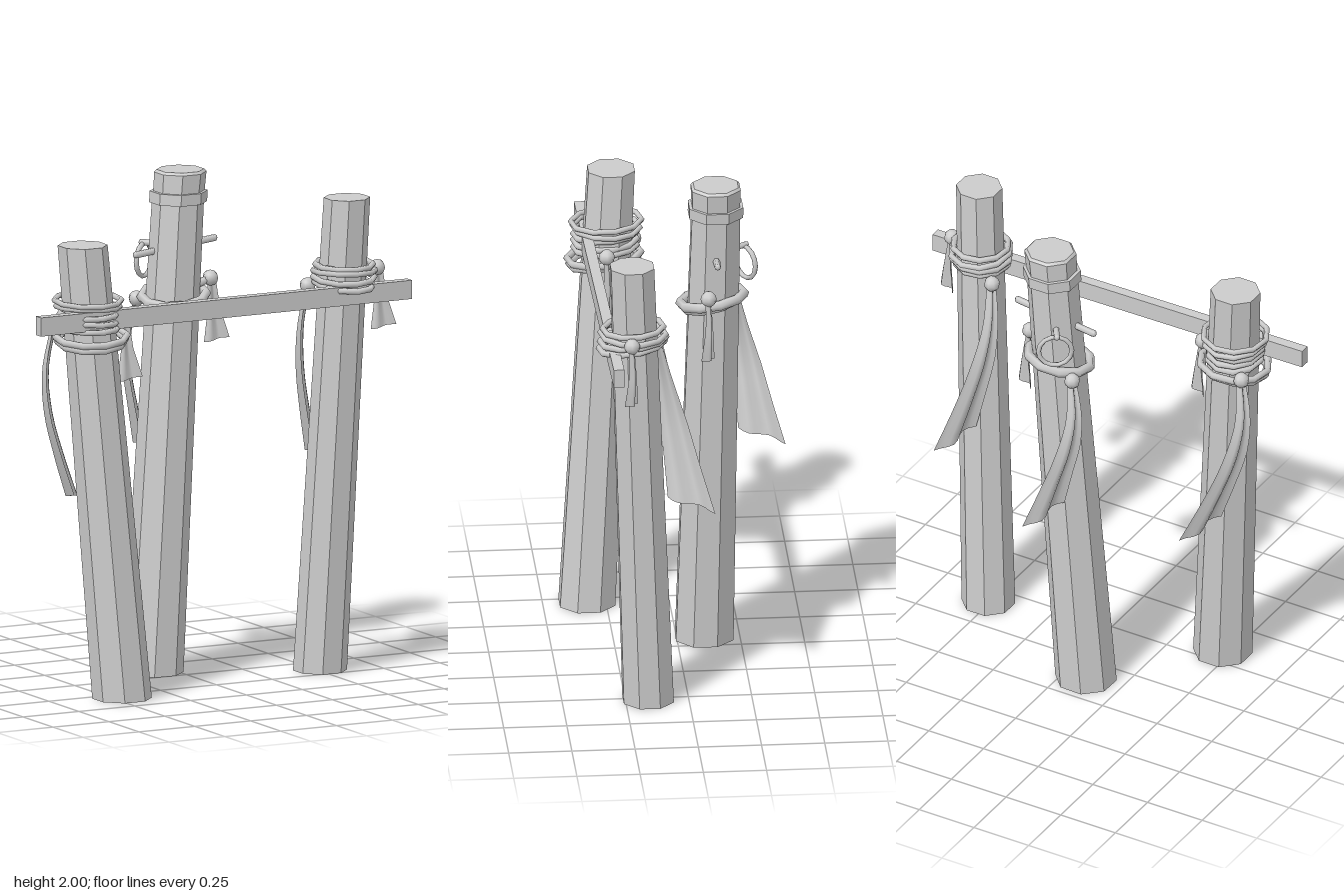
import * as THREE from 'three';
import { toCreasedNormals } from 'three/addons/utils/BufferGeometryUtils.js';

export function createModel() {
  const model = new THREE.Group();
  const grey = new THREE.MeshStandardMaterial({ color: 0xcccccc });
  grey.name = 'plainGrey';
  grey.side = THREE.DoubleSide;

  const add = (name, geo, parent = model) => {
    const mesh = new THREE.Mesh(geo, grey);
    mesh.name = name;
    parent.add(mesh);
    return mesh;
  };

  // Leaning eight-sided log: a tapered cylinder sheared so both ends stay level
  const log = (name, from, to, r0, r1, turn = Math.PI / 8) => {
    const h = to[1] - from[1];
    const geo = new THREE.CylinderGeometry(r1, r0, h, 8, 1, false, turn);
    const p = geo.attributes.position;
    for (let i = 0; i < p.count; i++) {
      const t = p.getY(i) / h + 0.5;
      p.setXYZ(i,
        p.getX(i) + from[0] + (to[0] - from[0]) * t,
        from[1] + h * t,
        p.getZ(i) + from[2] + (to[2] - from[2]) * t);
    }
    return add(name, toCreasedNormals(geo, 0.6));
  };

  // Rope coil lying round a post; tilts in radians
  const coil = (name, x, y, z, r, tube, tiltX = 0, tiltZ = 0, stretchZ = 1) => {
    const geo = new THREE.TorusGeometry(r, tube, 6, 10);
    geo.rotateX(Math.PI / 2);
    geo.scale(1, 1, stretchZ);
    const mesh = add(name, geo);
    mesh.rotation.set(tiltX, 0.2, tiltZ);
    mesh.position.set(x, y, z);
  };

  // Straight round peg between two points
  const peg = (name, a, b, r) => {
    const va = new THREE.Vector3(...a), vb = new THREE.Vector3(...b);
    add(name, new THREE.TubeGeometry(new THREE.LineCurve3(va, vb), 1, r, 6));
    for (const [end, v] of [['Start', va], ['End', vb]])
      add(name + end, new THREE.SphereGeometry(r, 6, 4)).position.copy(v);
  };

  // Hanging cloth swept down a path; widths grow along it and folds ripple across
  const cloth = (name, path, widths, dir, ripple, slant) => {
    const curve = new THREE.CatmullRomCurve3(path.map((q) => new THREE.Vector3(...q)));
    const side = new THREE.Vector3(dir[0], 0, dir[1]).normalize();
    const out = new THREE.Vector3(side.z, 0, -side.x);
    const rows = 14, cols = 8, geo = new THREE.PlaneGeometry(1, 1, cols, rows);
    const p = geo.attributes.position, v = new THREE.Vector3();
    for (let j = 0; j <= rows; j++) {
      const t = j / rows, f = t * (widths.length - 1);
      const k = Math.min(Math.floor(f), widths.length - 2);
      const w = THREE.MathUtils.lerp(widths[k], widths[k + 1], f - k);
      for (let i = 0; i <= cols; i++) {
        const u = (i / cols) * 2 - 1;
        curve.getPoint(t, v);
        v.addScaledVector(side, u * w);
        v.addScaledVector(out, Math.sin(u * 4 + 0.6) * ripple * (0.5 + 0.5 * t));
        v.y -= u * slant * t;
        p.setXYZ(j * (cols + 1) + i, v.x, v.y, v.z);
      }
    }
    geo.computeVertexNormals();
    add(name, geo);
  };

  // Posts
  log('leftPost', [-0.463, 0, 0.325], [-0.583, 1.81, 0.22], 0.118, 0.099);
  log('middlePost', [-0.093, 0, -0.11], [0.04, 1.88, -0.145], 0.123, 0.103, 0.36);
  log('rightPost', [0.512, 0, 0.16], [0.595, 1.9, 0.23], 0.107, 0.092);

  // Collar and head of the tall middle post
  log('postCollar', [0.04, 1.87, -0.144], [0.043, 1.915, -0.144], 0.115, 0.115);
  log('postHead', [0.043, 1.9, -0.144], [0.05, 1.99, -0.144], 0.101, 0.104);
  log('postHeadBevel', [0.05, 1.99, -0.144], [0.05, 2.0, -0.144], 0.104, 0.094);

  // Crossbeam
  const beam = add('crossbeam', new THREE.BoxGeometry(1.675, 0.075, 0.042));
  beam.position.set(0, 1.523, 0.313);
  beam.rotation.y = 0.015;

  // Lashings: x, y, z, radius, tube, tilts, stretch
  [
    [-0.57, 1.592, 0.24, 0.128, 0.011, 0.03, 0.02, 1.1],
    [-0.57, 1.567, 0.24, 0.122, 0.011, -0.03, -0.03, 1.1],
    [-0.57, 1.54, 0.245, 0.107, 0.012, 0.02, 0.04, 1.18],
    [-0.57, 1.512, 0.245, 0.107, 0.012, 0.02, -0.04, 1.18],
    [-0.565, 1.485, 0.245, 0.107, 0.012, 0.02, 0.03, 1.18],
    [-0.56, 1.448, 0.25, 0.138, 0.014, 0.08, 0.07, 1.07],
    [-0.56, 1.432, 0.25, 0.132, 0.014, 0.12, 0.1, 1.07],
  ].forEach((c) => coil('leftLashing', ...c));
  [
    [0.585, 1.632, 0.225, 0.11, 0.012, 0.03, 0.02, 1.1],
    [0.585, 1.607, 0.225, 0.118, 0.012, -0.03, -0.02, 1.1],
    [0.583, 1.582, 0.225, 0.115, 0.012, 0.06, 0.04, 1.15],
    [0.58, 1.557, 0.23, 0.105, 0.012, 0.1, 0.02, 1.25],
  ].forEach((c) => coil('rightLashing', ...c));
  coil('middleLashing', 0.015, 1.5, -0.133, 0.128, 0.02, 0.14, 0.13);
  coil('middleLashing', 0.01, 1.492, -0.133, 0.122, 0.016, 0.22, 0.06);

  // Knots, small streamers beside them and long cloths behind
  const ties = [
    { n: 'left', knot: [-0.415, 1.5, 0.25], drop: 0.24, start: [-0.665, 1.47, 0.125], end: [-0.535, 0.77, 0.035], bulge: -0.03 },
    { n: 'middle', knot: [0.165, 1.56, -0.107], drop: 0.25, start: [-0.1, 1.48, -0.23], end: [-0.035, 0.88, -0.335], bulge: -0.03 },
    { n: 'right', knot: [0.725, 1.61, 0.24], drop: 0.24, start: [0.475, 1.54, 0.125], end: [0.56, 0.85, -0.01], bulge: -0.02 },
  ];
  for (const { n, knot, drop, start, end, bulge } of ties) {
    const [x, y, z] = knot;
    add(n + 'Knot', new THREE.SphereGeometry(0.032, 8, 6)).position.set(x, y, z);
    peg(n + 'KnotTail', [x - 0.06, y - 0.02, z], [x, y, z], 0.016);
    cloth(n + 'Streamer',
      [[x + 0.005, y, z], [x + 0.018, y - drop * 0.5, z - 0.005], [x + 0.028, y - drop, z]],
      [0.016, 0.024, 0.05], [0.85, 0.4], 0.014, -0.012);
    const at = (t, dx) => [
      start[0] + (end[0] - start[0]) * t * t + dx,
      start[1] + (end[1] - start[1]) * t,
      start[2] + (end[2] - start[2]) * t,
    ];
    cloth(n + 'Cloth', [start, at(0.25, bulge), at(0.5, bulge), at(0.75, bulge * 0.4), end],
      [0.018, 0.034, 0.06, 0.078, 0.1], [0.35, -1], 0.018, 0.02);
    add(n + 'ClothKnot', new THREE.SphereGeometry(0.032, 8, 6)).position.set(...start);
  }

  // Cross peg through the middle post, and the hanging ring behind it
  peg('crossPeg', [-0.148, 1.672, -0.145], [0.2, 1.712, -0.14], 0.014);
  const ring = add('hangingRing', new THREE.TorusGeometry(0.066, 0.01, 6, 14));
  ring.position.set(-0.045, 1.625, -0.268);
  ring.rotation.y = 0.585;
  peg('ringPeg', [0, 1.695, -0.19], [-0.055, 1.695, -0.272], 0.013);

  return model;
}
